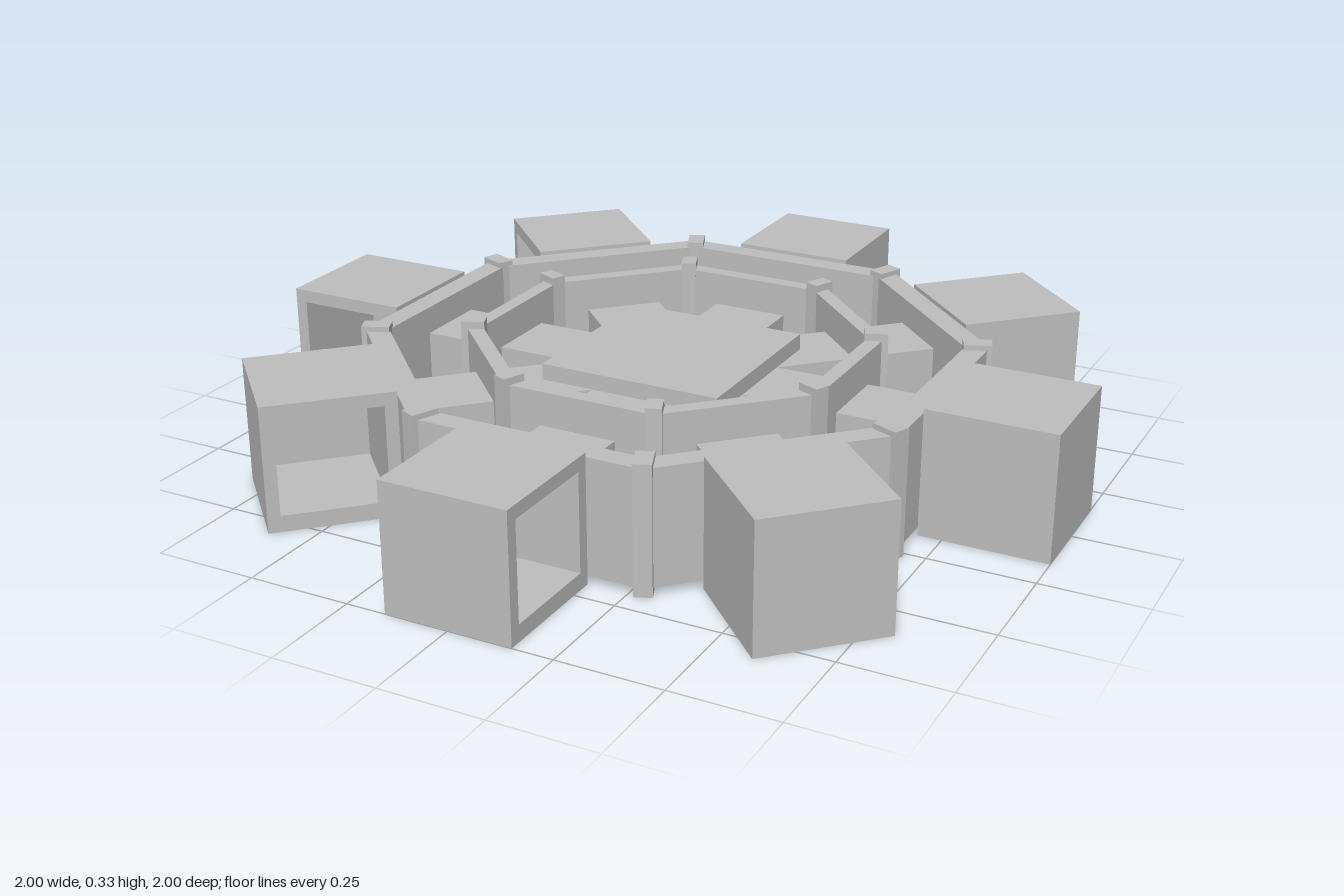
import * as THREE from 'three';

const grey = new THREE.MeshStandardMaterial({ color: 0xbebebe });
grey.name = 'plain grey';

function part(name, geometry, x, y, z) {
  const mesh = new THREE.Mesh(geometry, grey);
  mesh.name = name;
  mesh.position.set(x, y, z);
  return mesh;
}

function box(name, w, y0, y1, d, z = 0, x = 0) {
  return part(name, new THREE.BoxGeometry(w, y1 - y0, d), x, (y0 + y1) / 2, z);
}

// Hollow cubic room, open on one tangential side (+x before turning)
function room() {
  const size = 0.307, h = size / 2, back = 0.03;
  const shape = new THREE.Shape([[-h, 0], [h, 0], [h, 0.307], [-h, 0.307]].map(p => new THREE.Vector2(...p)));
  const w = h - 0.03;
  shape.holes.push(new THREE.Path([[-w, 0.04], [-w, 0.275], [w, 0.275], [w, 0.04]].map(p => new THREE.Vector2(...p))));
  const shell = new THREE.ExtrudeGeometry(shape, { depth: size - back, bevelEnabled: false });
  shell.rotateY(Math.PI / 2);
  const group = new THREE.Group();
  group.name = 'room';
  group.add(part('roomShell', shell, -h + back, 0, 1 - h));
  group.add(box('roomBackWall', back, 0, 0.307, size, 1 - h, -h + back / 2));
  return group;
}

// Octagonal fence: eight wall panels with a post at every corner
function ring(name, r) {
  const group = new THREE.Group();
  group.name = name;
  const tan = Math.tan(Math.PI / 8);
  for (let k = 0; k < 8; k++) {
    const side = new THREE.Group();
    side.name = 'ringSide';
    side.rotation.y = k * Math.PI / 4;
    side.add(box('wallPanel', 2 * r.apothem * tan, r.wall[0], r.wall[1], r.thick, r.apothem));
    const post = box('cornerPost', r.postWidth, r.post[0], r.post[1], r.postDepth, r.apothem, r.apothem * tan);
    post.rotation.y = Math.PI / 8;
    side.add(post);
    group.add(side);
  }
  return group;
}

export function createModel() {
  const model = new THREE.Group();
  model.name = 'radialStation';

  // Central hub
  model.add(box('hub', 0.458, 0, 0.27, 0.458));

  // Eight spokes, each ending in a room
  for (let k = 0; k < 8; k++) {
    const arm = new THREE.Group();
    arm.name = 'arm';
    arm.rotation.y = k * Math.PI / 4;
    arm.add(box('spoke', 0.19, 0.04, 0.23, 0.5, 0.45), room());
    model.add(arm);
  }

  // Two concentric fences
  model.add(ring('outerRing', {
    apothem: 0.665, thick: 0.055, wall: [0.02, 0.297], post: [0.003, 0.31], postWidth: 0.042, postDepth: 0.068,
  }));
  model.add(ring('innerRing', {
    apothem: 0.445, thick: 0.037, wall: [0.037, 0.312], post: [0.02, 0.33], postWidth: 0.037, postDepth: 0.056,
  }));
  return model;
}
